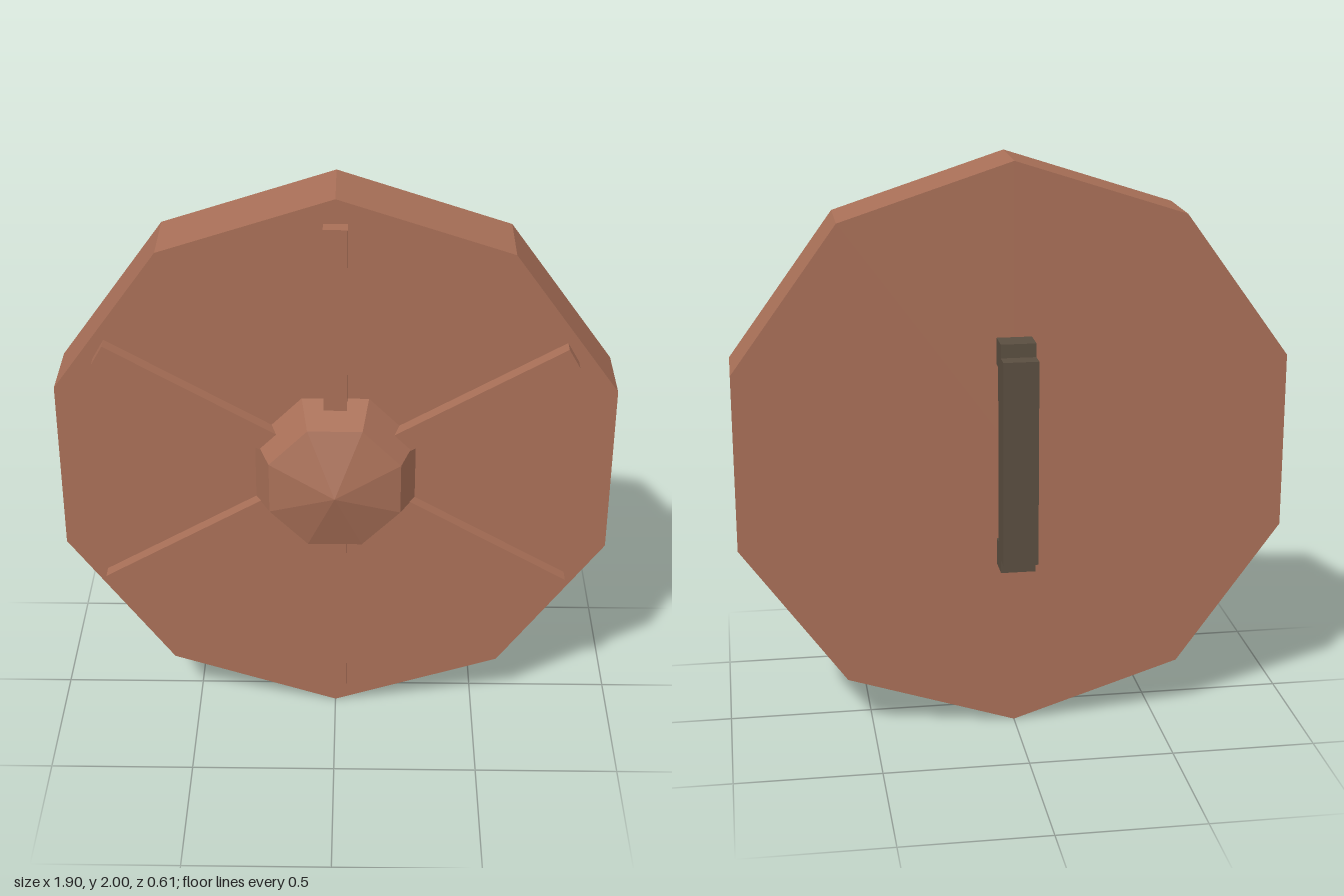
import * as THREE from 'three';

const wood = new THREE.MeshStandardMaterial({ color: 0xa86f57 });
wood.name = 'reddish wood';
const iron = new THREE.MeshStandardMaterial({ color: 0x5a4e40 });
iron.name = 'dark grip';

// Faceted copy of a geometry: one normal per face
function facet(geometry) {
  const flat = geometry.index ? geometry.toNonIndexed() : geometry;
  flat.computeVertexNormals();
  return flat;
}

function addPart(parent, name, geometry, material, x = 0, y = 0, z = 0) {
  const mesh = new THREE.Mesh(facet(geometry), material);
  mesh.name = name;
  mesh.position.set(x, y, z);
  parent.add(mesh);
  return mesh;
}

export function createModel() {
  const shield = new THREE.Group();
  shield.name = 'roundShield';

  // Ten-sided board with a corner at the top
  const board = new THREE.CylinderGeometry(1, 1, 0.25, 10).rotateX(Math.PI / 2);
  addPart(shield, 'board', board, wood, 0, 1, -0.025);

  // Eight-sided domed boss, flat side up
  const profile = [[0.298, 0.1], [0.242, 0.235], [0, 0.305]].map(([r, h]) => new THREE.Vector2(r, h));
  const boss = new THREE.LatheGeometry(profile, 8, Math.PI / 8).rotateX(Math.PI / 2);
  addPart(shield, 'boss', boss, wood, 0, 1, 0);

  // Six raised ribs radiating from the boss
  const ribs = new THREE.Group();
  ribs.name = 'ribs';
  ribs.position.y = 1;
  for (let i = 0; i < 6; i++) {
    const rib = new THREE.BoxGeometry(0.08, 0.72, 0.05).translate(0, 0.555, 0.125);
    addPart(ribs, 'rib', rib, wood).rotation.z = (i * Math.PI) / 3;
  }
  shield.add(ribs);

  // Grip on the back: a bar held off the board by two feet
  const handle = new THREE.Group();
  handle.name = 'handle';
  addPart(handle, 'gripBar', new THREE.BoxGeometry(0.12, 0.715, 0.12), iron, 0, 1.0025, -0.245);
  for (const side of [-1, 1]) {
    addPart(handle, 'gripFoot', new THREE.BoxGeometry(0.12, 0.093, 0.095), iron, 0, 1.0025 + side * 0.358, -0.1975);
  }
  shield.add(handle);

  return shield;
}
